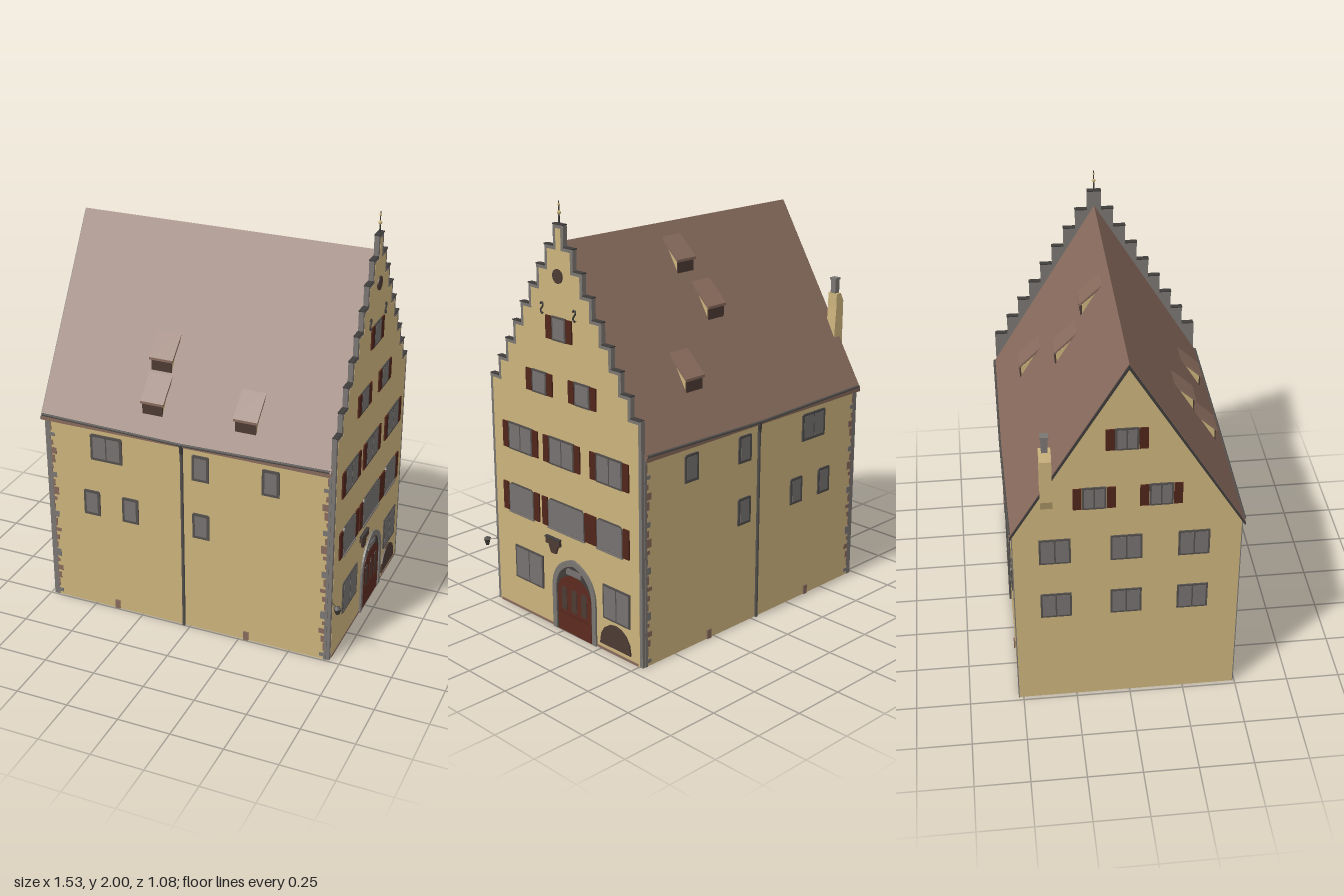
import * as THREE from 'three';

const paint = (name, color) => Object.assign(new THREE.MeshStandardMaterial({ color }), { name });
const M = {
  wall: paint('plaster', 0xccb37c), roof: paint('roofTile', 0x876a5c), stone: paint('greyStone', 0x7a7672),
  glass: paint('windowGlass', 0x767170), frame: paint('windowFrame', 0x53504d), metal: paint('darkMetal', 0x403d3b),
  shutter: paint('redShutter', 0x50251b), door: paint('redDoor', 0x5c2a1f), timber: paint('darkTimber', 0x4c3a33),
  floor: paint('floorGrey', 0x605c58),
};
const CZ = -0.015, HALF = 0.505, RIDGE = 1.826, SLOPE = 1.643;

function add(parent, name, geo, mat, x = 0, y = 0, z = 0) {
  const m = new THREE.Mesh(geo, mat);
  m.name = name;
  m.position.set(x, y, z);
  parent.add(m);
  return m;
}
const box = (p, name, mat, w, h, d, x, y, z) => add(p, name, new THREE.BoxGeometry(w, h, d), mat, x, y, z);
const poly = pts => new THREE.Shape(pts.map(p => new THREE.Vector2(...p)));
const extrude = (shape, depth) => new THREE.ExtrudeGeometry(shape, { depth, bevelEnabled: false, curveSegments: 8 });
const tube = (pts, r, n = 1) => new THREE.TubeGeometry(
  new THREE.CatmullRomCurve3(pts.map(p => new THREE.Vector3(...p))), n, r, 6);

// Upright plate with clipped upper corners, centred on u, v
function plate(p, name, mat, u, v, w, h, z, depth, clip = 0) {
  const a = w / 2, b = h / 2, c = clip;
  const s = c ? poly([[-a, -b], [a, -b], [a, b - c], [a - c, b], [c - a, b], [-a, b - c]])
    : poly([[-a, -b], [a, -b], [a, b], [-a, b]]);
  return add(p, name, extrude(s, depth), mat, u, v, z);
}

// Window with frame, panes and optional shutters
function makeWindow(p, u, v, w, h, { panes = 2, shutters = false, clip = 0, sill = false, bar = 0.009 } = {}) {
  const g = new THREE.Group();
  g.name = 'window';
  plate(g, 'windowFrame', M.frame, 0, 0, w, h, 0, 0.006, clip);
  const gap = 0.007, pw = (w - 2 * bar - gap * (panes - 1)) / panes;
  for (let i = 0; i < panes; i++)
    plate(g, 'pane', M.glass, (i - (panes - 1) / 2) * (pw + gap), 0, pw, h - 2 * bar, 0.006, 0.001, clip / 2);
  if (shutters) for (const s of [-1, 1])
    box(g, 'shutter', M.shutter, 0.038, h * 0.95, 0.007, s * (w / 2 + 0.021), 0, 0.0035);
  if (sill) box(g, 'windowSill', M.stone, w, 0.008, 0.01, 0, -h / 2, 0.005);
  g.position.set(u, v, 0);
  p.add(g);
}

// Group whose local +z looks outward from a wall
function wallGroup(root, name, x, z, turn) {
  const g = new THREE.Group();
  g.name = name;
  g.position.set(x, 0, z);
  g.rotation.y = turn;
  root.add(g);
  return g;
}

// Stepped gable outline, shrunk inward by d
function gableShape(d) {
  const right = [[0.505 - d, 0], [0.505 - d, 1.14 - d]];
  for (let i = 1; i < 9; i++) {
    const half = 0.5 - 0.0583 * i - d, y = 1.14 + 0.095 * i - d;
    right.push([half, y - 0.095], [half, y]);
  }
  return poly([...right, ...right.map(([u, y]) => [-u, y]).reverse()]);
}

// Pointed arch outline standing on v = 0
function arch(half, spring, top, Type = THREE.Shape) {
  const s = new Type(), shoulder = top - (top - spring) * 0.2;
  s.moveTo(-half, 0);
  s.lineTo(half, 0);
  s.lineTo(half, spring);
  s.quadraticCurveTo(half * 0.9, shoulder, 0, top);
  s.quadraticCurveTo(-half * 0.9, shoulder, -half, spring);
  s.lineTo(-half, 0);
  return s;
}

// Small shed dormer; d0 and d1 are distances from the ridge
function dormer(p, u, d0, d1) {
  const g = new THREE.Group();
  g.name = 'dormer';
  const y0 = RIDGE - SLOPE * d0, y1 = RIDGE - SLOPE * d1, top = y1 + 0.065, f = d1 - 0.012;
  const side = (pts, w) => extrude(poly(pts.map(([d, y]) => [-d, y])), w).translate(0, 0, -w / 2).rotateY(Math.PI / 2);
  add(g, 'dormerCheeks', side([[d0, y0 - 0.02], [f, y1 - 0.005], [f, top]], 0.1), M.wall);
  add(g, 'dormerRoof', side([[d0 - 0.005, y0 + 0.005], [d0, y0 - 0.015], [d1, top - 0.004], [d1, top + 0.008]], 0.116), M.roof);
  box(g, 'dormerOpening', M.timber, 0.1, 0.066, 0.006, 0, top - 0.03, f + 0.003);
  g.position.x = u;
  p.add(g);
}

export function createModel() {
  const root = new THREE.Group();
  root.name = 'steppedGableHouse';

  // House body and roof
  const along = (shape, len, x) => extrude(shape, len).rotateY(Math.PI / 2).translate(x, 0, CZ);
  add(root, 'houseBody', along(poly([[-HALF, 0.03], [HALF, 0.03], [HALF, 0.97], [0, 1.8], [-HALF, 0.97]]), 1.41, -0.73), M.wall);
  const e = 0.517, ey = RIDGE - SLOPE * e;
  add(root, 'mainRoof', along(poly([[-e, ey], [-e, ey - 0.02], [0, RIDGE - 0.025], [e, ey - 0.02], [e, ey], [0, RIDGE]]), 1.425, -0.745), M.roof);
  box(root, 'floor', M.floor, 1.39, 0.006, 0.99, -0.025, 0.027, CZ);
  for (const s of [-1, 1]) {
    box(root, 'wallFoot', M.wall, 1.41, 0.03, 0.02, -0.025, 0.015, CZ + s * (HALF - 0.01));
    box(root, 'wallFoot', M.wall, 0.02, 0.03, 0.97, s < 0 ? -0.72 : 0.67, 0.015, CZ);
    // Dark verge boards under the roof edge on the plain gable
    const verge = poly([[0, RIDGE - 0.004], [s * e, ey - 0.004], [s * e, ey - 0.022], [0, RIDGE - 0.027]]);
    add(root, 'vergeBoard', along(verge, 0.004, -0.748), M.metal);
  }

  // Long walls: windows, corner stones, gutter and downpipe, the same on both sides
  for (const s of [1, -1]) {
    const g = wallGroup(root, s > 0 ? 'frontWall' : 'backWall', 0, CZ + s * HALF, s > 0 ? 0 : Math.PI);
    makeWindow(g, s * -0.415, 0.863, 0.162, 0.134, { clip: 0.006, bar: 0.013 });
    for (const [x, y] of [[0.06, 0.863], [0.4, 0.863], [-0.5, 0.563], [-0.3, 0.563], [0.06, 0.563]])
      makeWindow(g, s * x, y, 0.084, 0.13, { panes: 1, clip: 0.006, bar: 0.013 });
    for (const [x, dir, strip] of [[-0.732, 1, 0.026], [0.682, -1, 0.012]]) {
      box(g, 'cornerStrip', M.stone, strip, 0.97, 0.004, s * (x + dir * strip / 2), 0.485, 0.001);
      for (let i = 0; i < 22; i++) {
        const w = 0.007 + 0.027 * ((i * 7 + 3) % 5) / 5, h = 0.018 + 0.007 * (i * 3 % 4);
        box(g, 'cornerStone', i % 5 ? M.roof : M.stone, w, h, 0.004, s * (x + dir * (strip - 0.002 + w / 2)), 0.025 + i * 0.043, 0.001);
      }
    }
    for (const x of [-0.385, 0.285]) box(g, 'drainStone', M.roof, 0.024, 0.045, 0.008, s * x, 0.023, 0.003);
    const px = s * -0.033;
    add(g, 'downpipe', new THREE.CylinderGeometry(0.008, 0.008, 0.97, 8), M.frame, px, 0.485, 0.003);
    add(g, 'pipeHopper', new THREE.CylinderGeometry(0.011, 0.008, 0.05, 8), M.metal, px, 0.945, 0.006);
    for (const end of [-0.74, 0.675])
      add(g, 'gutter', tube([[s * end, 0.983, 0.01], [px, 0.971, 0.015]], 0.0065), M.frame);
  }

  // Roof dormers
  const frontRoof = wallGroup(root, 'frontDormers', 0, CZ, 0);
  [[-0.195, 0.265, 0.365], [-0.195, 0.365, 0.47], [0.26, 0.365, 0.47]].forEach(a => dormer(frontRoof, ...a));
  const backRoof = wallGroup(root, 'backDormers', 0, CZ, Math.PI);
  [[-0.28, 0.305, 0.41], [0.01, 0.155, 0.26], [-0.06, 0.035, 0.135]].forEach(a => dormer(backRoof, ...a));

  // Stepped gable: stone core, plaster face and dark weathered caps
  const f = wallGroup(root, 'gableFacade', 0.699, 0, Math.PI / 2);
  add(f, 'gableCore', extrude(gableShape(0), 0.022), M.stone, -CZ, 0, -0.023);
  add(f, 'gablePlaster', extrude(gableShape(0.017), 0.002), M.wall, -CZ, 0, -0.002);
  for (let i = 0; i < 9; i++) for (const s of i < 8 ? [-1, 1] : [0])
    box(f, 'stepCap', M.metal, i < 8 ? 0.06 : 0.068, 0.005, 0.026, -CZ + s * (0.472 - 0.0583 * i), 1.141 + 0.095 * i, -0.011);

  // Facade windows, u runs toward the back
  const row = (list, v, h, opts) => list.forEach(([u, w]) => makeWindow(f, u, v, w, h, opts));
  row([[0.01, 0.092]], 1.44, 0.11, { panes: 1, shutters: true });
  row([[-0.133, 0.1], [0.155, 0.1]], 1.172, 0.108, { panes: 1, shutters: true });
  row([[-0.28, 0.168], [0.008, 0.168], [0.322, 0.168]], 0.868, 0.133, { shutters: true });
  row([[-0.285, 0.178], [0.03, 0.25], [0.32, 0.17]], 0.562, 0.145, { panes: 1, shutters: true, clip: 0.018, sill: true, bar: 0.006 });
  row([[-0.241, 0.2], [0.358, 0.175]], 0.245, 0.165, {});

  // Round opening and curled wall anchors
  add(f, 'roundOpening', new THREE.CylinderGeometry(0.032, 0.032, 0.006, 16).rotateX(Math.PI / 2), M.timber, 0.01, 1.675, 0.003);
  for (const u of [-0.1, 0.115])
    add(f, 'wallAnchor', tube([[-0.008, 0.015, 0], [0, 0.026, 0], [0.009, 0.014, 0], [-0.008, -0.014, 0], [0, -0.026, 0], [0.009, -0.018, 0]], 0.004, 16), M.metal, u, 1.52, 0.004);

  // Arched doorway
  const door = new THREE.Group();
  door.name = 'doorway';
  door.position.x = 0.075;
  f.add(door);
  const surround = arch(0.148, 0.22, 0.375);
  surround.holes.push(arch(0.122, 0.215, 0.345, THREE.Path));
  add(door, 'doorSurround', extrude(surround, 0.009), M.stone);
  add(door, 'doorArchBack', extrude(arch(0.124, 0.215, 0.347), 0.003), M.metal);
  add(door, 'doorLeaves', extrude(arch(0.114, 0.21, 0.295), 0.005), M.door);
  plate(door, 'transomLight', M.glass, 0, 0.309, 0.1, 0.03, 0.003, 0.004, 0.008);
  for (const u of [-0.068, 0, 0.068]) plate(door, 'doorPanel', M.timber, u, 0.17, 0.036, 0.115, 0.005, 0.002, 0.01);
  box(door, 'doorMiddleRail', M.shutter, 0.2, 0.006, 0.003, 0, 0.095, 0.0055);
  box(f, 'footStrip', M.roof, 0.96, 0.012, 0.003, -CZ, 0.006, 0);

  // Cellar hatch with a domed top
  const hatch = new THREE.Shape();
  hatch.moveTo(-0.1, 0);
  hatch.lineTo(0.1, 0);
  hatch.bezierCurveTo(0.1, 0.15, -0.1, 0.15, -0.1, 0);
  add(f, 'cellarHatch', extrude(hatch, 0.008), M.timber, 0.35, 0.034, 0);

  // Bracketed box above the door and the corner lamp
  box(f, 'wallBox', M.timber, 0.094, 0.03, 0.014, -0.06, 0.427, 0.007);
  box(f, 'wallBoxLid', M.metal, 0.1, 0.007, 0.016, -0.06, 0.444, 0.008);
  add(f, 'wallBoxBracket', extrude(poly([[-0.035, 0.045], [-0.016, 0], [0.016, 0], [0.035, 0.045]]), 0.01), M.timber, -0.06, 0.37, 0);
  add(root, 'lampArm', tube([[0.695, 0.312, 0.48], [0.735, 0.312, 0.513]], 0.0018), M.metal);
  add(root, 'lamp', new THREE.CylinderGeometry(0.02, 0.009, 0.03, 4), M.metal, 0.737, 0.296, 0.515);
  add(root, 'lampCap', new THREE.CylinderGeometry(0.007, 0.022, 0.01, 4), M.frame, 0.737, 0.316, 0.515);

  // Finial on the top step
  add(root, 'finialRod', new THREE.CylinderGeometry(0.002, 0.004, 0.1, 6), M.metal, 0.689, 1.95, CZ);
  for (const [y, r] of [[1.95, 0.009], [1.985, 0.006]])
    add(root, 'finialBall', new THREE.SphereGeometry(r, 8, 6), M.wall, 0.689, y, CZ);

  // Plain rear gable windows
  const l = wallGroup(root, 'leftGable', -0.73, 0, -Math.PI / 2);
  makeWindow(l, -0.02, 1.45, 0.1, 0.11, { shutters: true });
  for (const u of [-0.16, 0.13]) makeWindow(l, u, 1.15, 0.105, 0.115, { shutters: true });
  for (const v of [0.87, 0.56]) for (const u of [-0.335, -0.02, 0.28]) makeWindow(l, u, v, 0.14, 0.135);

  // Chimney corbelled out of the gable wall
  const stack = poly([[0.03, 1.12], [-0.015, 1.12], [-0.036, 1.17], [-0.036, 1.38], [-0.015, 1.42], [0.015, 1.42], [0.015, 1.35]]);
  add(root, 'chimneyStack', extrude(stack, 0.052), M.wall, -0.732, 0, -0.393);
  box(root, 'chimneyPot', M.stone, 0.03, 0.075, 0.028, -0.734, 1.45, -0.367);
  box(root, 'chimneyCap', M.stone, 0.036, 0.01, 0.036, -0.734, 1.49, -0.367);
  return root;
}
